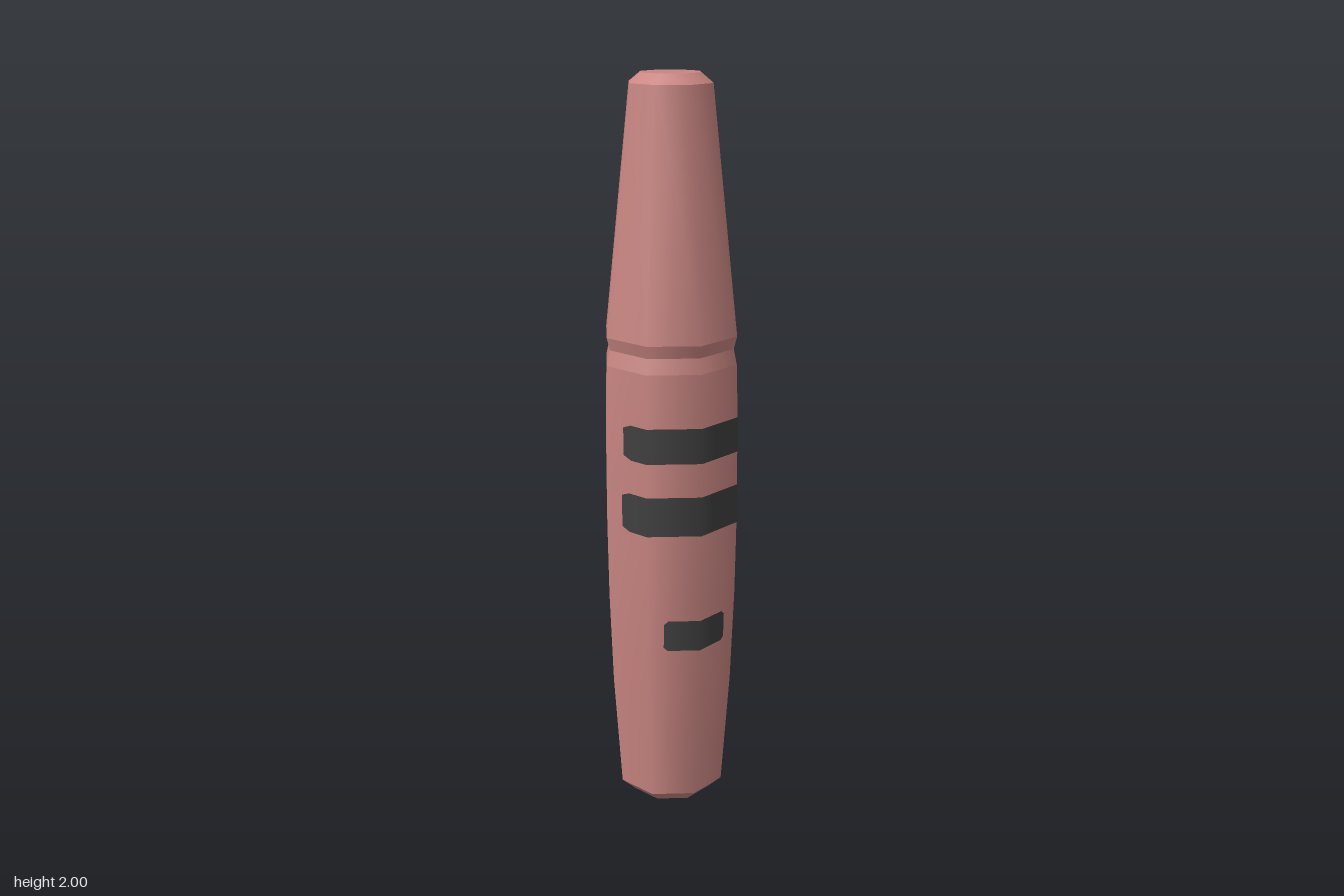
import * as THREE from 'three';

const SIDES = 8;

// Outer profile of the main barrel: [radius, height]
const BARREL = [[0.152, 0.037], [0.175, 0.36], [0.185, 0.62], [0.188, 0.8], [0.188, 0.98], [0.187, 1.13], [0.183, 1.262]];

// Barrel radius at a height
function radiusAt(y) {
  for (let i = 1; i < BARREL.length; i++) {
    const [r0, y0] = BARREL[i - 1], [r1, y1] = BARREL[i];
    if (y <= y1) return r0 + (r1 - r0) * (y - y0) / (y1 - y0);
  }
  return BARREL[BARREL.length - 1][0];
}

// Eight-sided turned section, smooth around, creased against its neighbours
function turned(name, profile, material) {
  const points = profile.map(([r, y]) => new THREE.Vector2(r, y));
  const mesh = new THREE.Mesh(new THREE.LatheGeometry(points, SIDES), material);
  mesh.name = name;
  return mesh;
}

// Thin painted band wrapped over the front facets, with clipped corners
function band(name, halfWidth, y0, y1, material) {
  const lift = 0.0025, clip = 0.01;
  const corner = Math.SQRT1_2;
  const half = [0, 0.045, 0.09, 0.133, 0.15].filter((x) => x < halfWidth - clip - 0.002);
  half.push(halfWidth - clip, halfWidth);
  const columns = [...half.slice(1).reverse().map((x) => -x), ...half];
  const rows = 5, positions = [], normals = [], index = [];
  columns.forEach((x, i) => {
    const inset = Math.abs(x) === halfWidth ? clip : 0;
    for (let j = 0; j < rows; j++) {
      const y = THREE.MathUtils.lerp(y0 + inset, y1 - inset, j / (rows - 1));
      const r = radiusAt(y) + lift;
      const ax = Math.abs(x), cx = r * corner;
      // Depth of the octagon outline at this x
      const z = ax < cx ? r - ax * (r - cx) / cx : cx * (r - ax) / (r - cx);
      positions.push(x, y, z);
      const n = new THREE.Vector3(x, 0, z).normalize();
      normals.push(n.x, n.y, n.z);
      if (i && j) {
        const d = i * rows + j, c = d - 1, b = d - rows, a = b - 1;
        index.push(a, c, d, a, d, b);
      }
    }
  });
  const geometry = new THREE.BufferGeometry();
  geometry.setAttribute('position', new THREE.Float32BufferAttribute(positions, 3));
  geometry.setAttribute('normal', new THREE.Float32BufferAttribute(normals, 3));
  geometry.setIndex(index);
  const mesh = new THREE.Mesh(geometry, material);
  mesh.name = name;
  return mesh;
}

export function createModel() {
  const pink = new THREE.MeshStandardMaterial({ color: 0xc98682 });
  pink.name = 'dusty pink';
  const dark = new THREE.MeshStandardMaterial({ color: 0x404040 });
  dark.name = 'dark grey';

  const model = new THREE.Group();
  model.name = 'taperedPen';

  // Body sections from bottom to top
  model.add(
    turned('bottomFace', [[0, 0], [0.112, 0]], pink),
    turned('bottomBevel', [[0.112, 0], [0.152, 0.037]], pink),
    turned('barrel', BARREL, pink),
    turned('grooveLower', [[0.183, 1.262], [0.174, 1.303]], pink),
    turned('grooveUpper', [[0.174, 1.303], [0.183, 1.337]], pink),
    turned('cap', [[0.183, 1.337], [0.113, 1.975]], pink),
    turned('topBevel', [[0.113, 1.975], [0.081, 2]], pink),
    turned('topFace', [[0.081, 2], [0, 2]], pink),
  );

  // Painted front markings
  model.add(
    band('upperBand', 0.165, 1.025, 1.12, dark),
    band('middleBand', 0.168, 0.825, 0.933, dark),
    band('lowerPatch', 0.09, 0.492, 0.58, dark),
  );
  return model;
}
